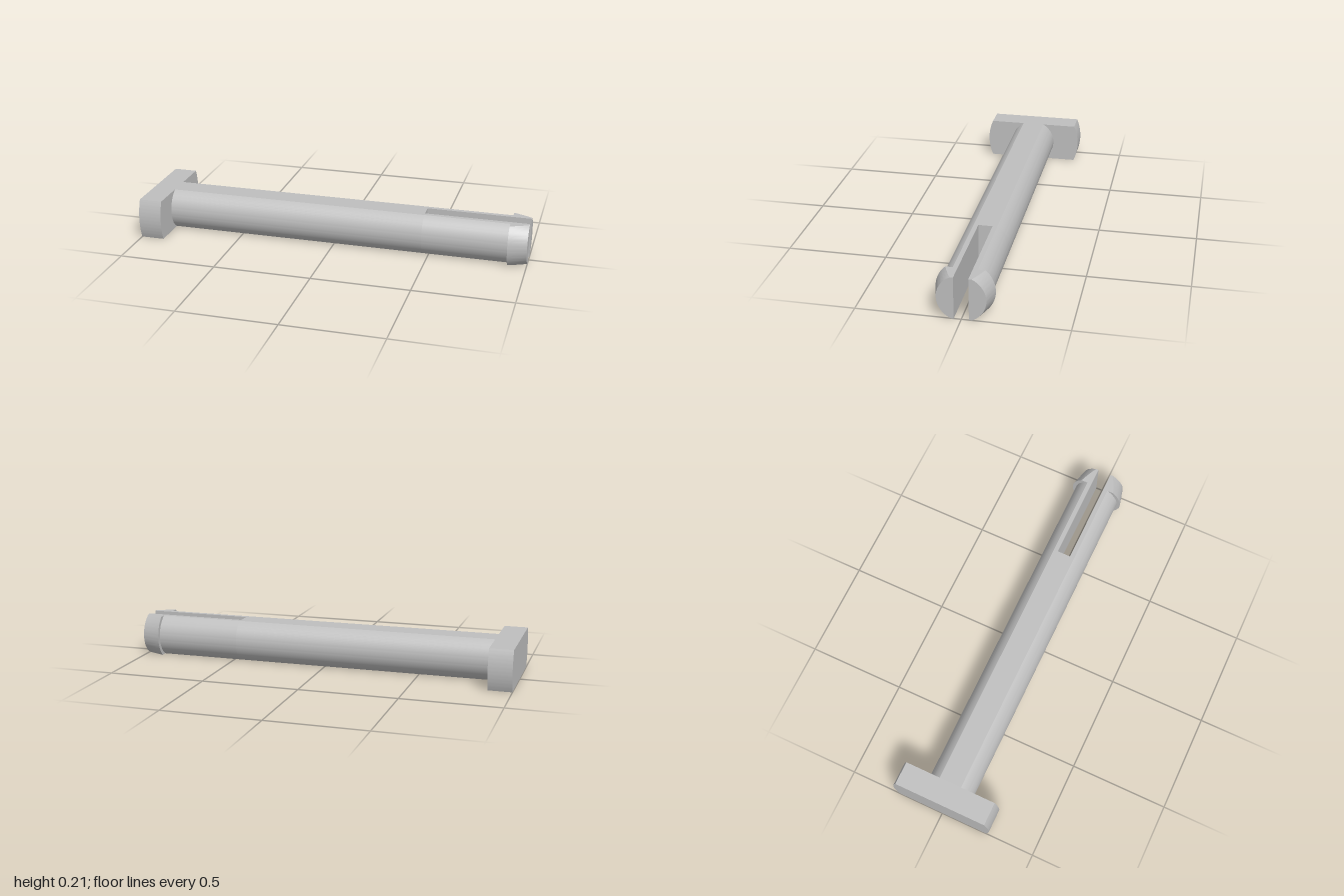
import * as THREE from 'three';
import { toCreasedNormals } from 'three/addons/utils/BufferGeometryUtils.js';

const HALF = 0.105;   // half height between the two flats
const SLOT = 0.035;   // half width of the slot
const SEG = 32;

// Round bar along x with flattened top and bottom; radius runs from r0 to r1.
// side 0 is the full section, +1 / -1 is the half beyond the slot on that side of z.
function flattenedBar(x0, x1, r0, r1, side) {
  const points = [];
  const arc = (sign, from) => {
    const a = Math.asin(HALF / r0);
    for (let i = 0; i <= SEG; i++) {
      const t = from * a * (1 - (2 * i) / SEG);
      points.push(new THREE.Vector2(-sign * r0 * Math.cos(t), r0 * Math.sin(t)));
    }
  };
  if (side === 0) {
    arc(1, 1);
    arc(-1, -1);
  } else {
    arc(side, 1);
    points.push(new THREE.Vector2(-side * SLOT, -HALF), new THREE.Vector2(-side * SLOT, HALF));
  }
  const depth = x1 - x0;
  const geometry = new THREE.ExtrudeGeometry(new THREE.Shape(points), {
    depth, steps: r0 === r1 ? 1 : 6, bevelEnabled: false,
  });
  // Taper the round side while the flats and the slot face stay put
  if (r0 !== r1) {
    const p = geometry.attributes.position;
    for (let i = 0; i < p.count; i++) {
      const u = p.getX(i), v = p.getY(i);
      if (Math.abs(u) < SLOT + 0.001) continue;
      const r = r0 + ((r1 - r0) * p.getZ(i)) / depth;
      p.setX(i, Math.sign(u) * Math.sqrt(r * r - v * v));
    }
  }
  geometry.rotateY(Math.PI / 2);
  geometry.translate(x0, HALF, 0);
  return toCreasedNormals(geometry, 0.3);
}

export function createModel() {
  const model = new THREE.Group();
  model.name = 'clipPin';
  const grey = new THREE.MeshStandardMaterial({ color: 0xbfbfbf });
  grey.name = 'grey';

  const add = (name, ...bar) => {
    const mesh = new THREE.Mesh(flattenedBar(...bar), grey);
    mesh.name = name;
    model.add(mesh);
  };

  // Wide head and solid shaft
  add('head', -1, -0.88, 0.263, 0.263, 0);
  add('shaft', -0.88, 0.47, 0.12, 0.12, 0);

  // Two snap arms with tapered barbs either side of the slot
  for (const [label, side] of [['front', 1], ['back', -1]]) {
    add(label + 'Arm', 0.47, 0.905, 0.12, 0.12, side);
    add(label + 'Barb', 0.905, 1, 0.14, 0.116, side);
  }
  return model;
}
